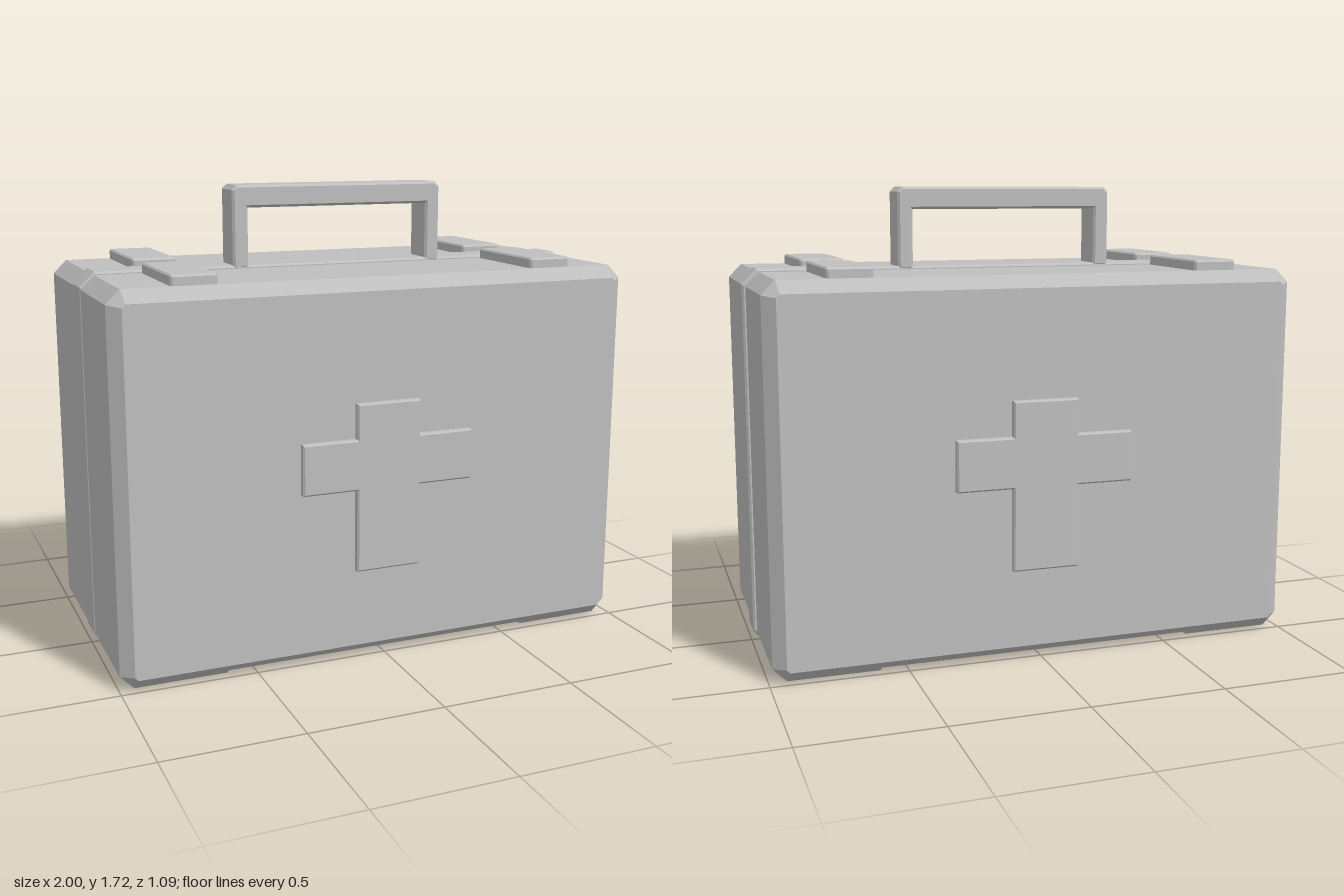
import * as THREE from 'three';

const caseGrey = new THREE.MeshStandardMaterial({ color: 0xbfbfbf });
caseGrey.name = 'caseGrey';

// Outline extruded from z0 to z1 with a small chamfer kept inside the outline
function slab(name, points, z0, z1, bevel) {
  const shape = new THREE.Shape(points.map(([x, y]) => new THREE.Vector2(x, y)));
  const geometry = new THREE.ExtrudeGeometry(shape, {
    depth: z1 - z0 - 2 * bevel,
    bevelThickness: bevel,
    bevelSize: bevel,
    bevelOffset: -bevel,
    bevelSegments: 1,
  });
  geometry.translate(0, 0, z0 + bevel);
  const mesh = new THREE.Mesh(geometry, caseGrey);
  mesh.name = name;
  return mesh;
}

// Rectangle with cut corners, counter-clockwise from the bottom left
function cutRect(x0, x1, y0, y1, c) {
  return [
    [x0 + c, y0], [x1 - c, y0], [x1, y0 + c], [x1, y1 - c],
    [x1 - c, y1], [x0 + c, y1], [x0, y1 - c], [x0, y0 + c],
  ];
}

// Section of a case half, inset toward the outer face; the underside has a shallow recess
function halfSection(inset, corner) {
  const y0 = 0.006 + inset;
  const yr = Math.max(y0, 0.021);
  const outline = cutRect(-0.997 + inset, 0.987 - inset, y0, 1.412 - inset, corner);
  outline.splice(1, 0, [-0.605, y0], [-0.605, yr], [0.6, yr], [0.6, y0]);
  return outline;
}

// Case half lofted from the centre band to its chamfered outer face
function caseHalf(name, side, depth) {
  const rings = [
    [0.05, 0, 0.05],
    [depth - 0.045, 0, 0.05],
    [depth - 0.03, 0.015, 0.038],
    [depth, 0.045, 0.012],
  ].map(([z, inset, corner]) =>
    halfSection(inset, corner).map(([x, y]) => [x, y, z * side]));
  const pos = [];
  const tri = (a, b, c) => pos.push(...a, ...(side > 0 ? b : c), ...(side > 0 ? c : b));
  for (let r = 0; r < rings.length - 1; r++) {
    const p = rings[r], q = rings[r + 1];
    for (let i = 0; i < p.length; i++) {
      const j = (i + 1) % p.length;
      tri(p[i], p[j], q[j]);
      tri(p[i], q[j], q[i]);
    }
  }
  const face = rings[rings.length - 1];
  const last = face.length - 1;
  for (let i = 0; i < last; i++) tri(face[last], face[i], face[i + 1]);
  const geometry = new THREE.BufferGeometry();
  geometry.setAttribute('position', new THREE.Float32BufferAttribute(pos, 3));
  geometry.computeVertexNormals();
  const mesh = new THREE.Mesh(geometry, caseGrey);
  mesh.name = name;
  return mesh;
}

export function createModel() {
  const group = new THREE.Group();
  group.name = 'firstAidCase';

  // Two case halves joined by a slightly raised band
  group.add(caseHalf('frontHalf', 1, 0.515));
  group.add(caseHalf('backHalf', -1, 0.52));
  group.add(slab('centreBand', cutRect(-1, 1, 0, 1.424, 0.055), -0.07, 0.066, 0.008));

  // Raised crosses on both faces
  const cross = [
    [-0.127, 0.345], [0.12, 0.345], [0.12, 0.652], [0.33, 0.652],
    [0.33, 0.84], [0.12, 0.84], [0.12, 0.97], [-0.127, 0.97],
    [-0.127, 0.84], [-0.335, 0.84], [-0.335, 0.652], [-0.127, 0.652],
  ];
  group.add(slab('frontCross', cross, 0.5, 0.541, 0.006));
  group.add(slab('backCross', cross, -0.546, -0.505, 0.006));

  // Latch plates on the lid, two on each side of the band
  for (const [side, x0, x1] of [['right', -0.775, -0.61], ['left', 0.6, 0.765]]) {
    const plate = cutRect(x0, x1, 1.39, 1.45, 0.006);
    group.add(slab(side + 'FrontLatch', plate, 0.068, 0.465, 0.008));
    group.add(slab(side + 'BackLatch', plate, -0.47, -0.072, 0.008));
  }

  // Carrying handle
  const handle = [
    [-0.428, 1.41], [-0.368, 1.41], [-0.368, 1.635], [0.36, 1.635],
    [0.36, 1.41], [0.418, 1.41], [0.418, 1.7], [0.4, 1.718],
    [-0.41, 1.718], [-0.428, 1.7],
  ];
  group.add(slab('handle', handle, -0.07, 0.066, 0.009));

  return group;
}
